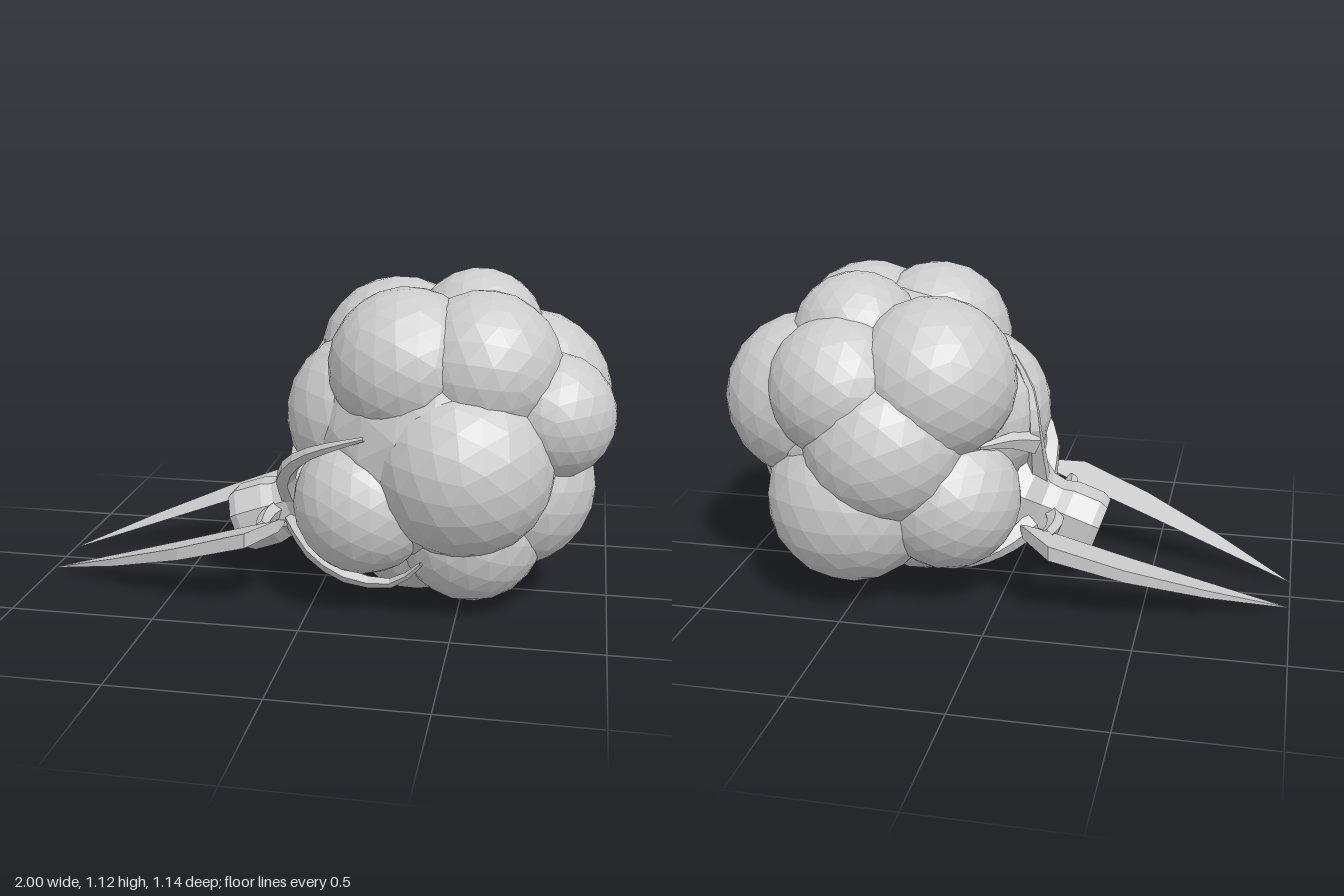
import * as THREE from 'three';

const mat = new THREE.MeshStandardMaterial({ color: 0xcccccc, flatShading: true, side: THREE.DoubleSide });
const MID = 0.0125; // z of the plane the pincers mirror about

function add(parent, name, geometry) {
  const mesh = new THREE.Mesh(geometry, mat);
  mesh.name = name;
  parent.add(mesh);
  return mesh;
}

// Faceted tube that narrows along its length
function taperedTube(points, r0, r1, sides = 5) {
  const curve = new THREE.CatmullRomCurve3(points.map(p => new THREE.Vector3(...p)));
  const n = 8;
  const geo = new THREE.TubeGeometry(curve, n, 1, sides, false);
  const pos = geo.attributes.position;
  const v = new THREE.Vector3();
  for (let i = 0; i < pos.count; i++) {
    const t = Math.floor(i / (sides + 1)) / n;
    const c = curve.getPointAt(t);
    v.fromBufferAttribute(pos, i).sub(c).multiplyScalar(THREE.MathUtils.lerp(r0, r1, t)).add(c);
    pos.setXYZ(i, v.x, v.y, v.z);
  }
  geo.computeVertexNormals();
  return geo;
}

// Wedge blade, sharp inside and thick outside; rows are [x, inner z, outer z, half thickness]
function bladeGeometry() {
  const rows = [
    [-1, 0.1, 0.102, 0.001], [-0.72, 0.15, 0.245, 0.014], [-0.45, 0.198, 0.352, 0.022],
    [-0.2, 0.235, 0.402, 0.026], [-0.1, 0.262, 0.325, 0.022], [-0.085, 0.27, 0.298, 0.008],
  ];
  const pos = [], idx = [];
  rows.forEach(([x, zi, zo, h], r) => {
    const y = 0.004 + (x + 1) * 0.335;
    pos.push(x, y, zi, x, y + h, zo, x, y - h, zo);
    if (r === 0) return;
    for (let k = 0; k < 3; k++) {
      const a = (r - 1) * 3 + k, b = (r - 1) * 3 + (k + 1) % 3;
      idx.push(a, b, a + 3, b, b + 3, a + 3);
    }
  });
  const e = (rows.length - 1) * 3;
  idx.push(e, e + 1, e + 2);
  const geo = new THREE.BufferGeometry();
  geo.setAttribute('position', new THREE.Float32BufferAttribute(pos, 3));
  geo.setIndex(idx);
  geo.computeVertexNormals();
  return geo;
}

export function createModel() {
  const model = new THREE.Group();
  model.name = 'berryWithPincers';

  // Cluster of overlapping faceted lobes: x, y, z, radius
  const cluster = new THREE.Group();
  cluster.name = 'berryCluster';
  model.add(cluster);
  const lobes = [
    [0.43, 0.57, 0, 0.48],
    [0.79, 0.69, 0.165, 0.21], [0.69, 0.69, -0.14, 0.295], [0.655, 0.42, 0.06, 0.288],
    [0.51, 0.37, -0.25, 0.3], [0.51, 0.53, 0.27, 0.302], [0.18, 0.38, 0.25, 0.242],
    [0.31, 0.84, 0.19, 0.265], [0.155, 0.63, 0.02, 0.288], [0.52, 0.9, -0.11, 0.228],
    [0.56, 0.84, 0.18, 0.26], [0.23, 0.79, -0.2, 0.285], [0.53, 0.77, -0.28, 0.25],
    [0.38, 0.59, -0.29, 0.285], [0.33, 0.265, 0.02, 0.26], [0.53, 0.285, 0.16, 0.253],
    [0.18, 0.38, -0.22, 0.252],
  ];
  lobes.forEach(([x, y, z, r], i) => {
    const lobe = add(cluster, i === 0 ? 'core' : 'lobe', new THREE.IcosahedronGeometry(r, 3));
    lobe.position.set(x, y, z);
    lobe.rotation.set(i * 1.3, i * 2.1, i * 0.7);
  });

  // Hollow octagonal stem flaring into a cup under the cluster
  const profile = [
    [0, 0.06], [0.062, 0.06], [0.072, 0], [0.108, 0], [0.124, 0.03], [0.124, 0.13],
    [0.112, 0.17], [0.12, 0.22], [0.165, 0.28], [0.17, 0.34],
  ].map(([x, y]) => new THREE.Vector2(x, y));
  const stem = add(model, 'stem', new THREE.LatheGeometry(profile, 8, Math.PI / 8));
  stem.position.set(-0.315, 0.205, MID);
  stem.rotation.z = -Math.PI / 2 + 0.34;

  // Pointed sepals gripping the cluster
  const sepals = [
    [[-0.1, 0.34, 0.1], [-0.1, 0.45, 0.22], [-0.03, 0.54, 0.31], [0.08, 0.6, 0.37], [0.2, 0.645, 0.41]],
    [[-0.09, 0.25, 0.1], [0, 0.18, 0.22], [0.13, 0.125, 0.29], [0.29, 0.125, 0.32], [0.39, 0.22, 0.38]],
    [[-0.1, 0.36, 0], [-0.1, 0.48, -0.06], [-0.1, 0.6, -0.11], [-0.08, 0.74, -0.09], [-0.02, 0.86, -0.08]],
    [[-0.09, 0.56, -0.11], [-0.03, 0.59, -0.2], [0.05, 0.6, -0.31]],
    [[-0.09, 0.25, -0.1], [0, 0.19, -0.19], [0.12, 0.14, -0.23], [0.26, 0.14, -0.24]],
  ];
  sepals.forEach(p => add(model, 'sepal', taperedTube(p, 0.046, 0.008)));

  // Mirrored pair of pincers, each a blade joined to the stem by a thin arm
  for (const side of [1, -1]) {
    const pincer = new THREE.Group();
    pincer.name = side > 0 ? 'frontPincer' : 'backPincer';
    pincer.position.z = MID;
    pincer.scale.z = side;
    add(pincer, 'blade', bladeGeometry());
    add(pincer, 'arm', taperedTube(
      [[-0.15, 0.28, 0.06], [-0.175, 0.275, 0.12], [-0.18, 0.272, 0.18], [-0.17, 0.277, 0.27]], 0.035, 0.022));
    model.add(pincer);
  }
  return model;
}
